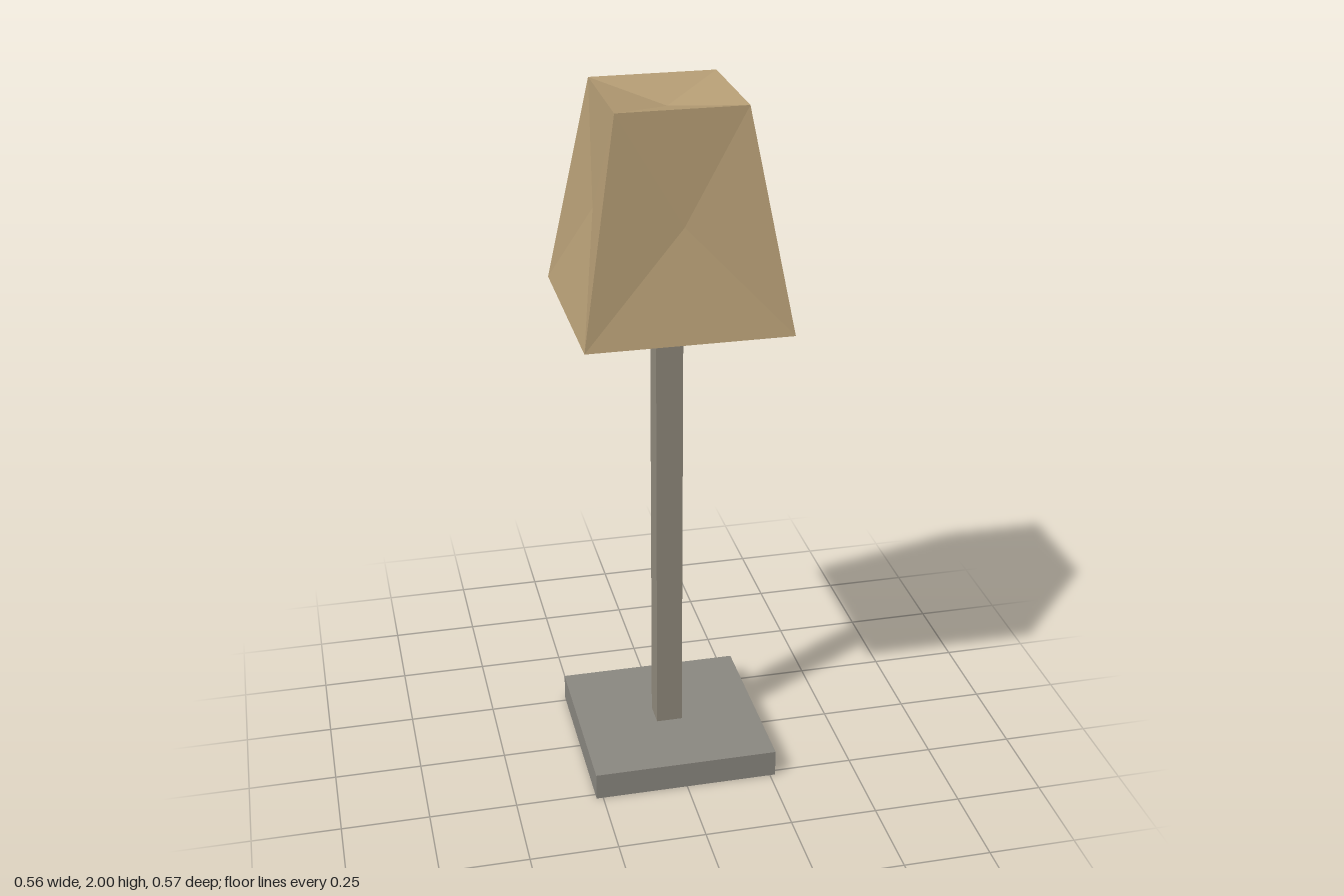
import * as THREE from 'three';

const BOTTOM = { y: 1.405, x: 0.281, z: 0.286 };
const TOP = { y: 2, x: 0.175, z: 0.178 };
const SIDE_DENT = 0.027;
const TOP_DENT = 0.04;

function material(color) {
  return new THREE.MeshStandardMaterial({ color, flatShading: true });
}

// Box standing on height y0
function block(name, width, y0, y1, color, offset = 0) {
  const mesh = new THREE.Mesh(new THREE.BoxGeometry(width, y1 - y0, width), material(color));
  mesh.position.set(-offset, (y0 + y1) / 2, offset);
  mesh.name = name;
  return mesh;
}

// Four corners of a level, counter-clockwise seen from above
function ring({ x, y, z }) {
  return [[-x, z], [x, z], [x, -z], [-x, -z]].map(([px, pz]) => new THREE.Vector3(px, y, pz));
}

// Tapered shade whose sides and top sink slightly to a centre point
function shadeGeometry() {
  const low = ring(BOTTOM);
  const high = ring(TOP);
  const points = [];
  const panel = (corners, dent) => {
    const centre = new THREE.Vector3();
    corners.forEach((c) => centre.addScaledVector(c, 0.25));
    const normal = new THREE.Vector3()
      .subVectors(corners[1], corners[0])
      .cross(new THREE.Vector3().subVectors(corners[3], corners[0]))
      .normalize();
    centre.addScaledVector(normal, -dent);
    corners.forEach((c, i) => points.push(c, corners[(i + 1) % 4], centre));
  };
  for (let i = 0; i < 4; i++) {
    const j = (i + 1) % 4;
    panel([low[i], low[j], high[j], high[i]], SIDE_DENT);
  }
  panel(high, TOP_DENT);
  panel([...low].reverse(), 0);
  const geometry = new THREE.BufferGeometry().setFromPoints(points);
  geometry.computeVertexNormals();
  return geometry;
}

export function createModel() {
  const lamp = new THREE.Group();
  lamp.name = 'lamp';
  lamp.add(block('base', 0.535, 0, 0.08, 0x8a8780, 0.002));
  lamp.add(block('post', 0.076, 0.08, 1.405, 0x8f897c, 0.002));

  const shade = new THREE.Mesh(shadeGeometry(), material(0xb49c74));
  shade.name = 'shade';
  lamp.add(shade);
  return lamp;
}
